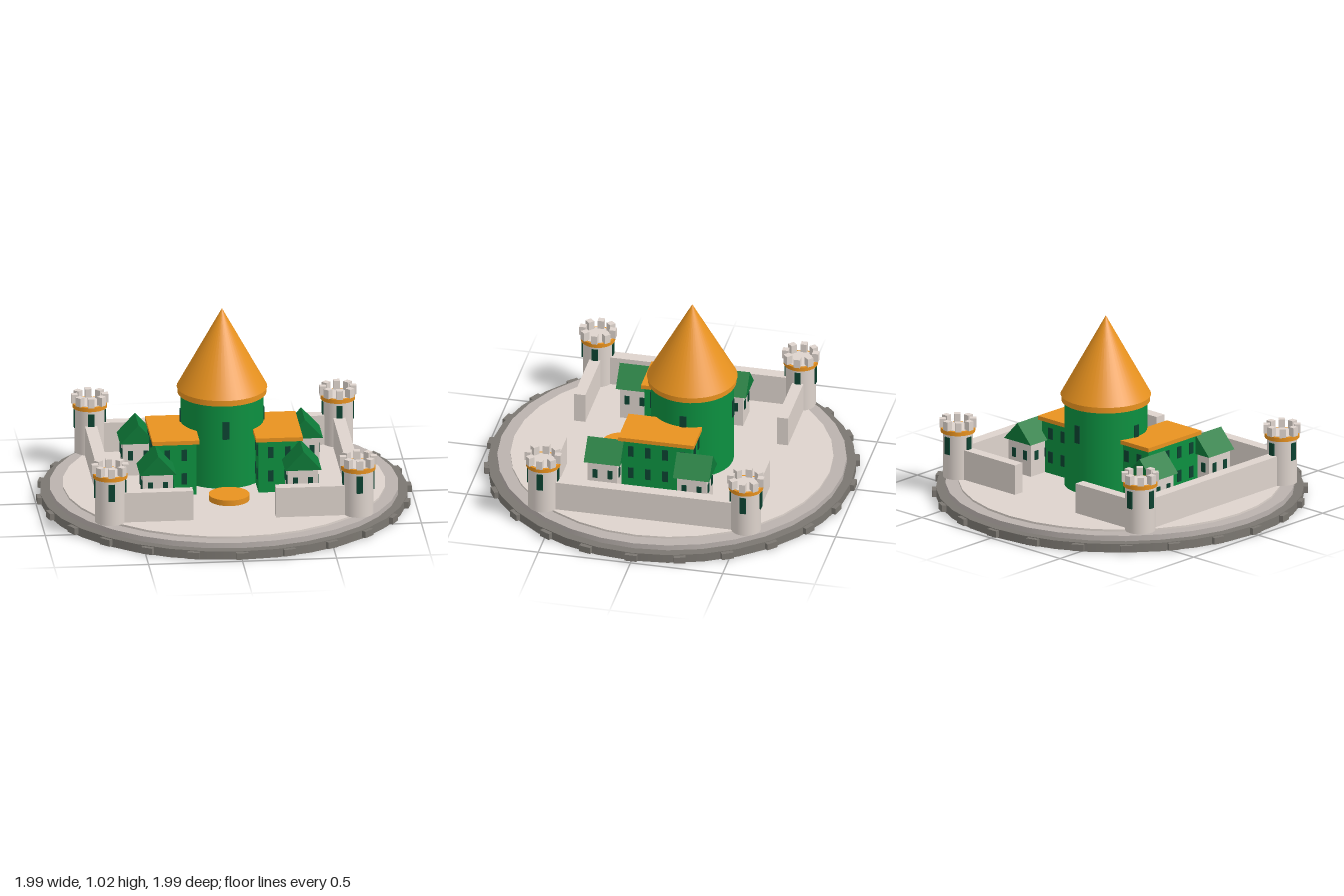
import * as THREE from 'three';

const mat = (color) => new THREE.MeshStandardMaterial({ color });

export function createModel() {
  const castle = new THREE.Group();
  castle.name = 'castle';
  const stone = mat(0xddd3cc), paving = mat(0xbab2ae), rock = mat(0x7b7771);
  const orange = mat(0xe8921f), green = mat(0x0c9040), roofGreen = mat(0x0d7a38), glass = mat(0x0b4230);
  const floor = 0.088;

  function add(parent, name, geometry, material, x = 0, y = 0, z = 0, turn = 0) {
    const mesh = new THREE.Mesh(geometry, material);
    mesh.name = name;
    mesh.position.set(x, y, z);
    mesh.rotation.y = turn;
    parent.add(mesh);
    return mesh;
  }
  // Upright solids given by their bottom and top heights
  const drum = (parent, name, r, y0, y1, material, x = 0, z = 0, sides = 40) =>
    add(parent, name, new THREE.CylinderGeometry(r, r, y1 - y0, sides), material, x, (y0 + y1) / 2, z);
  const block = (parent, name, w, y0, y1, d, material, x = 0, z = 0, turn = 0) =>
    add(parent, name, new THREE.BoxGeometry(w, y1 - y0, d), material, x, (y0 + y1) / 2, z, turn);
  // Repeats a block evenly around a circle
  function ring(parent, name, count, r, w, y0, y1, d, material) {
    for (let i = 0; i < count; i++) {
      const a = (i / count) * Math.PI * 2;
      block(parent, name, w, y0, y1, d, material, Math.sin(a) * r, Math.cos(a) * r, a);
    }
  }
  function group(name, x, z) {
    const g = new THREE.Group();
    g.name = name;
    g.position.set(x, 0, z);
    castle.add(g);
    return g;
  }
  // Windows on all four faces of a box-shaped building
  function boxWindows(parent, w, d, frontOffsets, sideOffsets, rows, width, height) {
    for (const y of rows) {
      for (const s of [-1, 1]) {
        for (const o of frontOffsets)
          block(parent, 'window', width, y - height / 2, y + height / 2, 0.01, glass, o, s * d / 2);
        for (const o of sideOffsets)
          block(parent, 'window', 0.01, y - height / 2, y + height / 2, width, glass, s * w / 2, o);
      }
    }
  }

  // Round stepped base with edge stones
  const base = group('base', 0, 0);
  drum(base, 'foundation', 0.975, 0, 0.047, rock, 0, 0, 32);
  drum(base, 'step', 0.925, 0.047, 0.077, paving, 0, 0, 32);
  drum(base, 'courtyard', 0.855, 0.077, floor, stone, 0, 0, 32);
  ring(base, 'edgeStone', 24, 0.975, 0.065, 0.007, 0.043, 0.04, rock);

  // Central keep with conical roof
  const keep = group('keep', 0, -0.11);
  drum(keep, 'keepBody', 0.22, floor, 0.557, green);
  drum(keep, 'keepBand', 0.235, 0.555, 0.588, orange);
  add(keep, 'keepRoof', new THREE.ConeGeometry(0.24, 0.437, 48), orange, 0, 0.8065, 0);
  ring(keep, 'keepWindow', 4, 0.219, 0.035, 0.365, 0.463, 0.012, glass);

  // Flat-roofed wings either side of the keep
  for (const s of [-1, 1]) {
    const wing = group('wing', s * 0.275, -0.003);
    block(wing, 'wingBody', 0.22, floor, 0.375, 0.38, green);
    block(wing, 'wingRoof', 0.25, 0.375, 0.397, 0.41, orange);
    boxWindows(wing, 0.22, 0.38, [-0.045, 0.045], [-0.14, -0.047, 0.047, 0.14], [0.18, 0.312], 0.03, 0.062);
  }

  // Four small gabled houses
  const gable = new THREE.Shape([
    new THREE.Vector2(-0.097, 0), new THREE.Vector2(0.097, 0), new THREE.Vector2(0, 0.105)]);
  const gableRoof = new THREE.ExtrudeGeometry(gable, { depth: 0.197, bevelEnabled: false }).translate(0, 0, -0.0985);
  for (const s of [-1, 1]) {
    for (const [x, z] of [[0.442, -0.224], [0.386, 0.272]]) {
      const house = group('house', s * x, z);
      block(house, 'houseWalls', 0.16, floor, 0.272, 0.16, stone);
      add(house, 'houseRoof', gableRoof, roofGreen, 0, 0.27, 0);
      boxWindows(house, 0.16, 0.16, [-0.04, 0.04], [-0.04, 0.04], [0.2], 0.026, 0.05);
    }
  }

  for (const sx of [-1, 1]) {
    // Curtain walls: full sides, open in the middle at front and back
    block(castle, 'sideWall', 0.064, floor, 0.252, 1.1, stone, sx * 0.66, 0);
    for (const sz of [-1, 1]) {
      block(castle, 'endWall', 0.44, floor, 0.252, 0.06, stone, sx * 0.44, sz * 0.55);
      // Corner tower with battlements
      const tower = group('cornerTower', sx * 0.66, sz * 0.55);
      drum(tower, 'towerBody', 0.08, floor, 0.363, stone, 0, 0, 32);
      drum(tower, 'towerBand', 0.092, 0.337, 0.361, orange, 0, 0, 32);
      ring(tower, 'merlon', 8, 0.081, 0.034, 0.361, 0.41, 0.034, stone);
      ring(tower, 'towerWindow', 4, 0.079, 0.033, 0.225, 0.32, 0.012, glass);
    }
  }

  // Round basin in front of the keep
  drum(castle, 'basin', 0.108, floor, 0.119, orange, 0, 0.274, 32);

  return castle;
}
